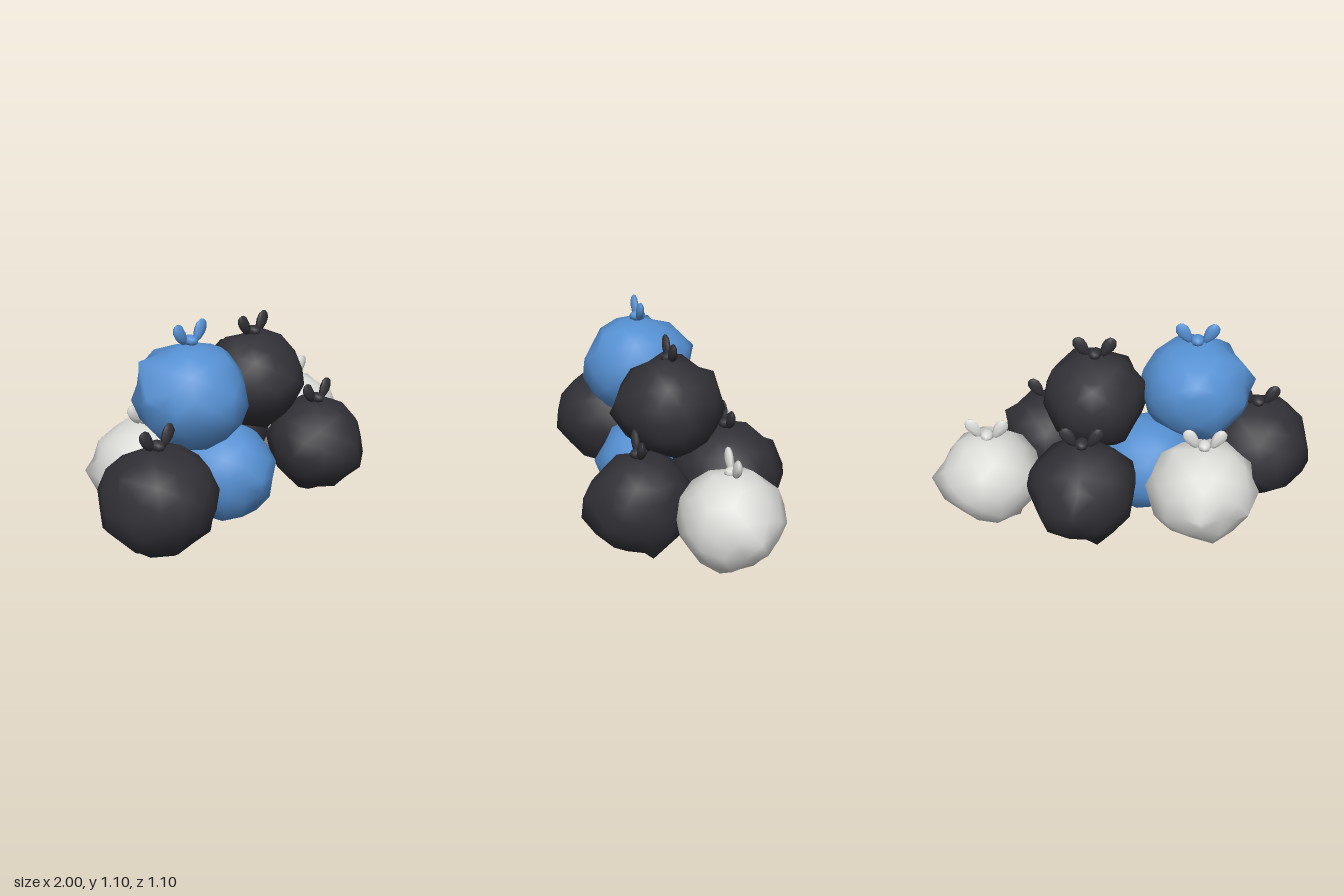
import * as THREE from 'three';
import { mergeVertices } from 'three/addons/utils/BufferGeometryUtils.js';

const mat = (name, color) => new THREE.MeshStandardMaterial({ name, color });

// Small seeded generator for the crumpled plastic
function seeded(seed) {
  let s = seed * 7919 + 17;
  return () => (s = (s * 16807) % 2147483647) / 2147483647;
}

// Smooth low-poly ball with uneven reach; the vertex nearest each corner is pulled out to it
function sackGeometry(center, radius, corners, seed) {
  const base = new THREE.IcosahedronGeometry(1, 2);
  base.deleteAttribute('uv');
  base.deleteAttribute('normal');
  const geo = mergeVertices(base, 1e-3);
  const pos = geo.attributes.position;
  const rand = seeded(seed);
  const dirs = [];
  for (let i = 0; i < pos.count; i++) {
    const dir = new THREE.Vector3().fromBufferAttribute(pos, i);
    dirs.push(dir);
    const p = dir.clone().multiplyScalar(radius * (0.93 + 0.13 * rand()));
    p.y *= 0.96;
    p.add(center);
    pos.setXYZ(i, p.x, Math.max(p.y, 0.01), p.z);
  }
  for (const corner of corners) {
    const aim = new THREE.Vector3(...corner).sub(center).normalize();
    const dots = dirs.map((d) => d.dot(aim));
    pos.setXYZ(dots.indexOf(Math.max(...dots)), ...corner);
  }
  geo.computeVertexNormals();
  return geo;
}

// Tied top: a small knot and two flared ears, wider towards their tips
function makeKnot(material) {
  const knot = new THREE.Group();
  knot.name = 'knot';
  const ball = new THREE.Mesh(new THREE.SphereGeometry(1, 8, 6), material);
  ball.name = 'knotBall';
  ball.scale.set(0.036, 0.028, 0.045);
  knot.add(ball);
  const earShape = new THREE.SphereGeometry(1, 8, 6);
  const pos = earShape.attributes.position;
  for (let i = 0; i < pos.count; i++) pos.setX(i, pos.getX(i) * (1 + 0.3 * pos.getY(i)));
  earShape.computeVertexNormals();
  for (const side of [-1, 1]) {
    const ear = new THREE.Mesh(earShape, material);
    ear.name = side > 0 ? 'leftEar' : 'rightEar';
    ear.scale.set(0.034, 0.06, 0.022);
    ear.position.set(side * 0.067, 0.038, 0);
    ear.rotation.z = -side * 0.55;
    knot.add(ear);
  }
  return knot;
}

export function createModel() {
  const black = mat('black plastic', 0x303036);
  const blue = mat('blue plastic', 0x5590d2);
  const white = mat('white plastic', 0xdadad7);

  // name, material, centre, radius, pulled-out corners
  const tiedSacks = [
    ['leftEndBlackSack', black, [-0.71, 0.31, 0.2], 0.285,
      [[-1, 0.23, 0.16], [-0.38, 0.3, 0.2], [-0.73, 0.25, 0.5], [-0.95, 0.49, 0.2], [-0.57, 0.04, 0.2]]],
    ['upperBlueSack', blue, [-0.37, 0.73, 0.09], 0.285,
      [[-0.68, 0.78, 0.1], [-0.61, 0.93, -0.02], [-0.33, 0.83, -0.21], [-0.4, 0.67, 0.39], [-0.36, 0.91, 0.3]]],
    ['upperBlackSack', black, [0.15, 0.68, 0.04], 0.27,
      [[0.1, 0.65, 0.34], [0.37, 0.85, 0.02], [0, 0.92, 0.04], [0.15, 0.85, -0.19], [0.42, 0.66, 0]]],
    ['rightEndWhiteSack', white, [0.7, 0.29, -0.135], 0.26,
      [[1, 0.3, -0.19], [0.55, 0.04, -0.14], [0.7, 0.24, -0.39], [0.71, 0.35, 0.11]]],
    ['frontBlackSack', black, [0.42, 0.3, 0.26], 0.265,
      [[0.66, 0.47, 0.22], [0.65, 0.1, 0.24], [0.43, 0.25, 0.55], [0.16, 0.42, 0.27], [0.42, 0.5, 0.42]]],
    ['backBlackSack', black, [0.2, 0.31, -0.25], 0.28,
      [[0.23, 0.33, -0.55], [0.12, 0.03, -0.37], [0.2, 0.49, -0.42], [0.5, 0.32, -0.25]]],
    ['backWhiteSack', white, [-0.42, 0.28, -0.19], 0.28,
      [[-0.4, 0.28, -0.49], [-0.71, 0.3, -0.23], [-0.65, 0.28, -0.4], [-0.12, 0.3, -0.2]]],
  ];

  const model = new THREE.Group();
  model.name = 'sackPile';
  tiedSacks.forEach(([name, material, center, radius, corners], i) => {
    const middle = new THREE.Vector3(...center);
    const sack = new THREE.Group();
    sack.name = name;
    const body = new THREE.Mesh(sackGeometry(middle, radius, corners, i + 1), material);
    body.name = 'sackBody';
    const knot = makeKnot(material);
    knot.position.copy(middle);
    knot.position.y += radius * 0.97;
    sack.add(body, knot);
    model.add(sack);
  });

  // Squashed sack under the pile, its top buried by the sacks resting on it
  const buried = new THREE.Mesh(sackGeometry(new THREE.Vector3(-0.13, 0.255, 0.09), 0.265,
    [[-0.13, 0, 0.09], [0.15, 0.35, 0.12], [-0.41, 0.3, 0.1], [-0.16, 0.28, 0.38]], 8), blue);
  buried.name = 'lowerBlueSack';
  model.add(buried);
  return model;
}
